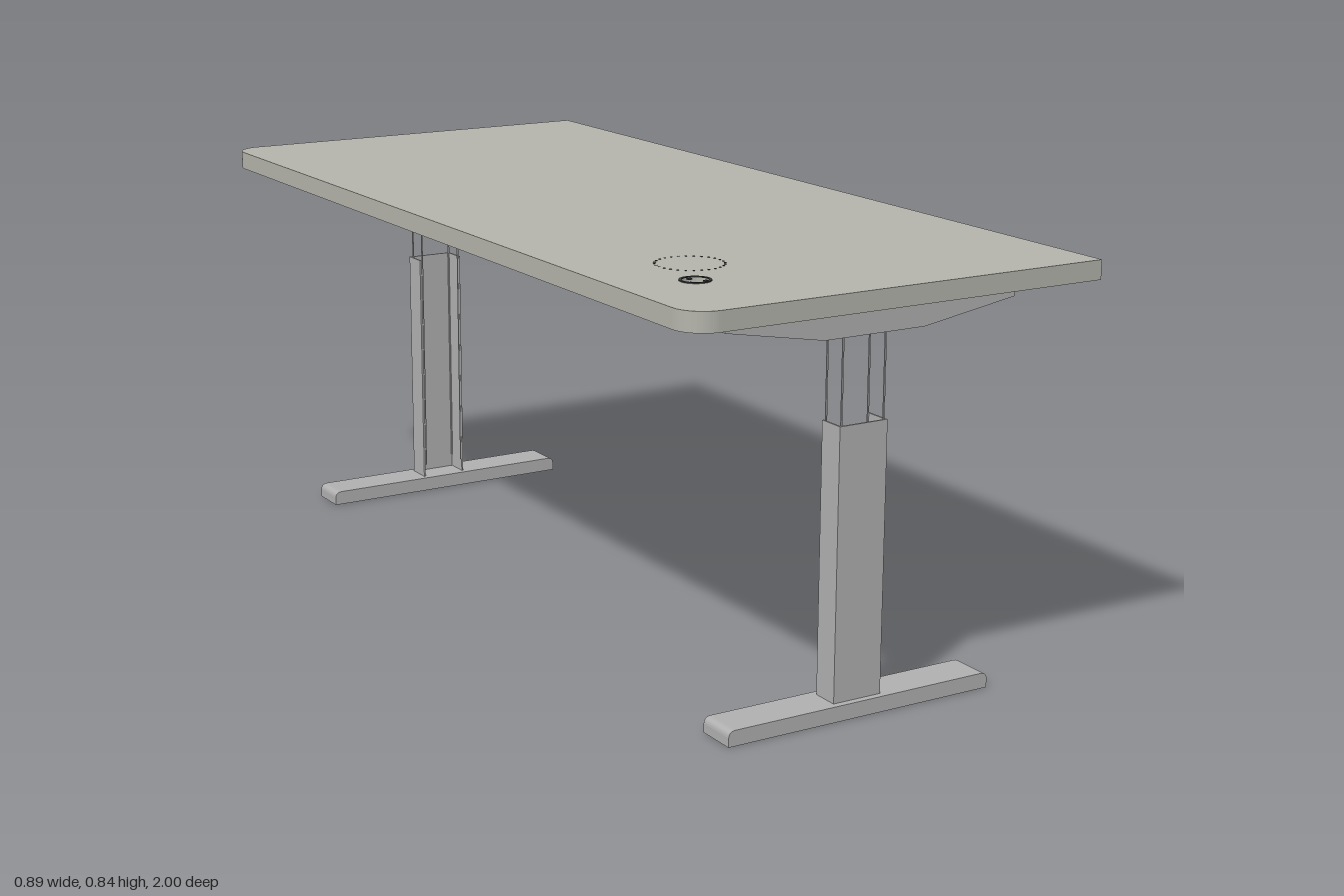
import * as THREE from 'three';

export function createModel() {
  const root = new THREE.Group();
  root.name = 'standingDesk';

  const topMat = new THREE.MeshStandardMaterial({ color: 0xb4b4ac });
  topMat.name = 'warm grey top';
  const frameMat = new THREE.MeshStandardMaterial({ color: 0xb0b0b0 });
  frameMat.name = 'grey frame';
  const darkMat = new THREE.MeshStandardMaterial({ color: 0x3c3c3c });
  darkMat.name = 'dark detail';

  const add = (name, geo, mat, x = 0, y = 0, z = 0, parent = root) => {
    const mesh = new THREE.Mesh(geo, mat);
    mesh.name = name;
    mesh.position.set(x, y, z);
    parent.add(mesh);
    return mesh;
  };
  const box = (name, w, h, d, x, y, z, mat = frameMat, parent = root) =>
    add(name, new THREE.BoxGeometry(w, h, d), mat, x, y, z, parent);
  // Horizontal slab: shape is drawn in x and -z, thickness goes up
  const slab = (shape, depth) =>
    new THREE.ExtrudeGeometry(shape, { depth, bevelEnabled: false, curveSegments: 10 }).rotateX(-Math.PI / 2);
  const circleHole = (x, z, r) => new THREE.Path().absarc(x, -z, r, 0, Math.PI * 2, true);

  // Desktop: two rounded corners on one long side, and a cable hole
  const W = 0.445, L = 1, R = 0.06, gx = -0.295, gz = 0.775;
  const top = new THREE.Shape();
  top.moveTo(W, -L);
  top.lineTo(W, L);
  top.lineTo(-W + R, L);
  top.absarc(-W + R, L - R, R, Math.PI / 2, Math.PI, false);
  top.lineTo(-W, -L + R);
  top.absarc(-W + R, -L + R, R, Math.PI, Math.PI * 1.5, false);
  top.closePath();
  top.holes.push(circleHole(gx, gz, 0.027));
  add('desktop', slab(top, 0.038), topMat, 0, 0.803, 0);

  // Cable hole rim with small tabs
  const rim = new THREE.Shape().absarc(gx, -gz, 0.03, 0, Math.PI * 2, false);
  rim.holes.push(circleHole(gx, gz, 0.025));
  add('cableHoleRim', slab(rim, 0.002), darkMat, 0, 0.841, 0);
  for (let i = 0; i < 3; i++) {
    const a = i * Math.PI * 2 / 3 + 0.5;
    box('cableHoleTab', 0.008, 0.002, 0.008, gx + 0.019 * Math.cos(a), 0.84, gz + 0.019 * Math.sin(a), darkMat);
  }

  // Ring of small dots on the desktop
  const dot = new THREE.CylinderGeometry(0.0025, 0.0025, 0.001, 8);
  for (let i = 0; i < 28; i++) {
    const a = i * Math.PI * 2 / 28;
    add('ringDot', dot, darkMat, -0.225 + 0.065 * Math.cos(a), 0.8412, 0.645 + 0.065 * Math.sin(a));
  }

  // Centre beam: two side walls and a floor plate with cut-outs
  const bw = 0.105, bl = 0.885;
  for (const s of [1, -1]) box('beamSide', 0.004, 0.046, bl * 2, s * (bw - 0.002), 0.78, 0);
  const floor = new THREE.Shape();
  floor.moveTo(-bw, -bl);
  floor.lineTo(bw, -bl);
  floor.lineTo(bw, bl);
  floor.lineTo(-bw, bl);
  floor.closePath();
  const cutout = (x, z, w, d) => {
    const p = new THREE.Path();
    p.moveTo(x - w / 2, -z - d / 2);
    p.lineTo(x - w / 2, -z + d / 2);
    p.lineTo(x + w / 2, -z + d / 2);
    p.lineTo(x + w / 2, -z - d / 2);
    p.closePath();
    floor.holes.push(p);
  };
  cutout(0, 0.48, 0.11, 0.1);
  cutout(0, 0, 0.12, 0.1);
  cutout(0, -0.5, 0.12, 0.13);
  for (const z of [0.3, 0.18, -0.18, -0.3]) {
    cutout(0.045, z, 0.02, 0.07);
    cutout(-0.045, z, 0.02, 0.07);
  }
  for (const s of [1, -1]) floor.holes.push(circleHole(0.03, s * 0.8, 0.014));
  add('beamFloor', slab(floor, 0.003), frameMat, 0, 0.757, 0);
  for (const z of [0.48, 0]) box('beamFlap', 0.1, 0.025, 0.003, 0, 0.772, z + 0.052);

  // Tapered bracket profile and rounded foot profile
  const bracket = new THREE.Shape([
    [-0.32, 0.803], [-0.32, 0.775], [-0.11, 0.737], [0.11, 0.737], [0.315, 0.77], [0.32, 0.803],
  ].map(([x, y]) => new THREE.Vector2(x, y)));
  const foot = new THREE.Shape();
  foot.moveTo(-0.295, 0);
  foot.lineTo(0.295, 0);
  foot.lineTo(0.295, 0.018);
  foot.quadraticCurveTo(0.294, 0.031, 0.28, 0.031);
  foot.lineTo(-0.28, 0.031);
  foot.quadraticCurveTo(-0.294, 0.031, -0.295, 0.018);
  foot.closePath();
  const across = (shape, depth) =>
    new THREE.ExtrudeGeometry(shape, { depth, bevelEnabled: false, curveSegments: 6 }).translate(0, 0, -depth / 2);

  // Legs, mirrored to both ends
  for (const s of [1, -1]) {
    const leg = new THREE.Group();
    leg.name = s > 0 ? 'frontLeg' : 'backLeg';
    root.add(leg);
    add('bracket', across(bracket, 0.036), frameMat, 0, 0, s * 0.894, leg);
    add('foot', across(foot, 0.084), frameMat, 0, 0, s * 0.858, leg);

    // Outer column: channel open towards the middle of the desk
    const h = 0.535, cy = 0.03 + h / 2;
    box('columnFace', 0.106, h, 0.004, -0.001, cy, s * 0.884, frameMat, leg);
    for (const t of [1, -1]) {
      box('columnSide', 0.004, h, 0.056, -0.001 + t * 0.051, cy, s * 0.858, frameMat, leg);
      // Slim lifting rods at the column corners
      for (const u of [1, -1]) {
        box('liftRod', 0.003, 0.74, 0.003, t * 0.047, 0.43, s * 0.856 + u * 0.024, frameMat, leg);
      }
    }
  }

  return root;
}
